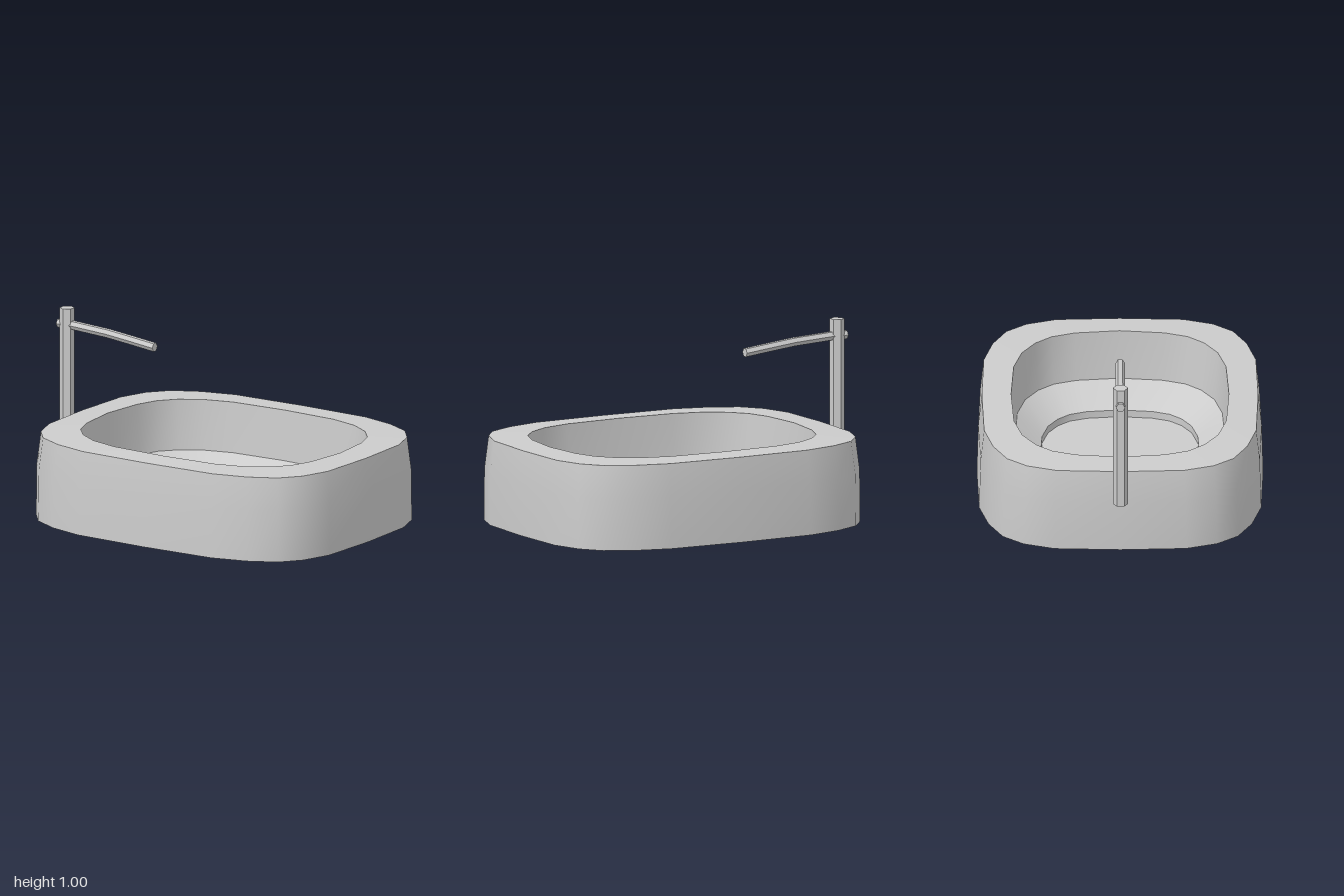
import * as THREE from 'three';

const CX = 0.065; // basin centre in x

// quarter outlines in unit size (x, z), from the back middle to the right middle
const OUTER = [[0, 1], [0.46, 0.985], [0.67, 0.92], [0.83, 0.82], [0.925, 0.675], [0.985, 0.46], [1, 0]];
const INNER = [[0, 1], [0.43, 0.975], [0.65, 0.9], [0.805, 0.775], [0.905, 0.625], [0.965, 0.41], [1, 0]];

// mirror a quarter outline into a closed ring
function ring(quarter, halfX, halfZ, y) {
  const q = quarter.slice(0, -1);
  const r = quarter.slice(1).reverse();
  const unit = [
    ...q.map(([x, z]) => [x, -z]),
    ...r.map(([x, z]) => [x, z]),
    ...q.map(([x, z]) => [-x, z]),
    ...r.map(([x, z]) => [-x, -z]),
  ];
  return unit.map(([x, z]) => new THREE.Vector3(CX + x * halfX, y, z * halfZ));
}

// skin a series of closed rings, smooth within one call
function loft(rings) {
  const n = rings[0].length;
  const index = [];
  for (let i = 0; i < rings.length - 1; i++) {
    for (let j = 0; j < n; j++) {
      const a = i * n + j, b = i * n + (j + 1) % n;
      const c = a + n, d = b + n;
      index.push(a, c, b, b, c, d);
    }
  }
  const geometry = new THREE.BufferGeometry().setFromPoints(rings.flat());
  geometry.setIndex(index);
  geometry.computeVertexNormals();
  return geometry;
}

export function createModel() {
  const model = new THREE.Group();
  const smooth = new THREE.MeshStandardMaterial({ color: 0xcccccc });
  const faceted = new THREE.MeshStandardMaterial({ color: 0xcccccc, flatShading: true });

  const add = (parent, name, geometry, material) => {
    const mesh = new THREE.Mesh(geometry, material);
    mesh.name = name;
    parent.add(mesh);
    return mesh;
  };

  // basin: each band is separate so the edges between them stay sharp
  const basin = new THREE.Group();
  basin.name = 'basin';
  model.add(basin);
  const foot = ring(OUTER, 0.93, 0.763, 0);
  const belly = ring(OUTER, 0.93, 0.755, 0.28);
  const rimOuter = ring(OUTER, 0.91, 0.736, 0.456);
  const rimInner = ring(INNER, 0.748, 0.58, 0.463);
  const crease = ring(INNER, 0.728, 0.56, 0.19);
  const floorEdge = ring(INNER, 0.55, 0.425, 0.09);
  const floorStep = ring(INNER, 0.55, 0.425, 0.05);
  const bands = {
    underside: [ring(OUTER, 0, 0, 0), foot],
    outerWall: [foot, belly, rimOuter],
    rim: [rimOuter, rimInner],
    innerWall: [rimInner, crease],
    bowlSlope: [crease, floorEdge],
    floorStep: [floorEdge, floorStep],
    bowlFloor: [floorStep, ring(INNER, 0, 0, 0.05)],
  };
  for (const [name, rings] of Object.entries(bands)) add(basin, name, loft(rings), smooth);

  // tap: six-sided post with a drooping spout passing through it
  const tap = new THREE.Group();
  tap.name = 'tap';
  model.add(tap);
  const post = add(tap, 'tapPost', new THREE.CylinderGeometry(0.04, 0.04, 0.69, 6), faceted);
  post.position.set(-0.945, 0.66, 0);

  const hexRing = (x, y, radius) => Array.from({ length: 6 }, (_, k) => {
    const t = (k + 0.5) * Math.PI / 3;
    return new THREE.Vector3(x, y + radius * Math.cos(t), -radius * Math.sin(t));
  });
  const path = [[-1, 0.914], [-0.9, 0.914], [-0.68, 0.902], [-0.53, 0.886], [-0.38, 0.869]];
  const start = path[0], end = path[path.length - 1];
  add(tap, 'tapSpout', loft([
    hexRing(...start, 0),
    ...path.map(([x, y]) => hexRing(x, y, 0.025)),
    hexRing(...end, 0),
  ]), faceted);

  return model;
}
